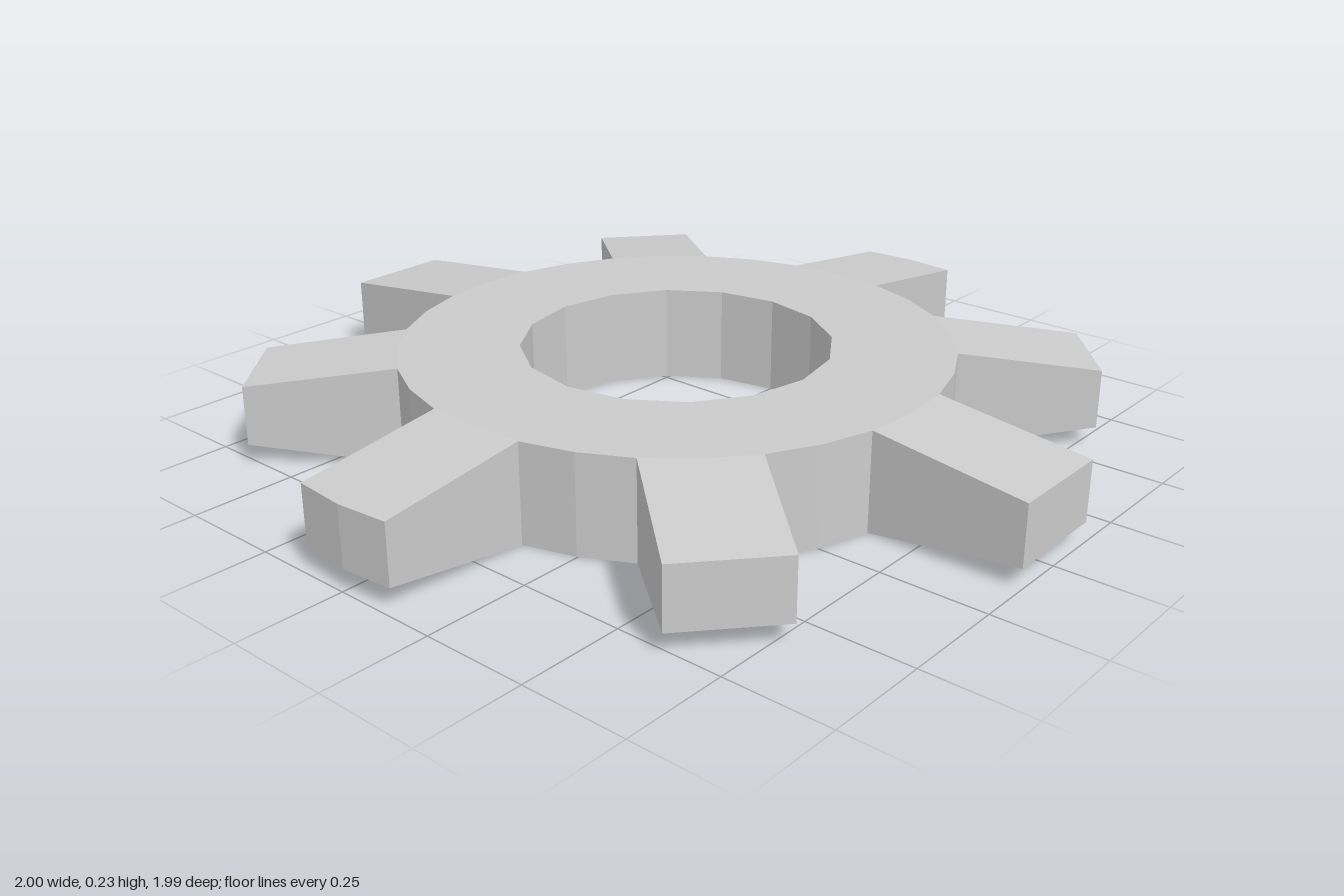
import * as THREE from 'three';

const HEIGHT = 0.235, TIP_LOW = 0.048, TIP_HIGH = 0.19;
const SEGMENTS = 32, OUTER = 0.648, INNER = 0.365;
const material = new THREE.MeshStandardMaterial({ color: 0xcccccc, flatShading: true });

// Plan points are [x, z]; angles run counter-clockwise seen from above
const polar = (k, r) => {
  const a = (k / SEGMENTS) * Math.PI * 2;
  return [r * Math.cos(a), -r * Math.sin(a)];
};
const mid = (p, q) => [(p[0] + q[0]) / 2, (p[1] + q[1]) / 2];
const at = (p, y) => [p[0], y, p[1]];
const outer = (k) => polar(k, OUTER);
// The bore has half as many sides, so odd points lie on its chords
const inner = (k) => (k % 2 ? mid(polar(k - 1, INNER), polar(k + 1, INNER)) : polar(k, INNER));

function quadMesh(name, quads) {
  const positions = quads.flatMap(([a, b, c, d]) => [a, b, c, a, c, d].flat());
  const geometry = new THREE.BufferGeometry();
  geometry.setAttribute('position', new THREE.Float32BufferAttribute(positions, 3));
  geometry.computeVertexNormals();
  const mesh = new THREE.Mesh(geometry, material);
  mesh.name = name;
  return mesh;
}

// Upright wall facing right of the path p -> q
const wall = (p, q, low, high) => [at(p, low), at(q, low), at(q, high), at(p, high)];

// Flat ring with a bore; the rim is left open where teeth join
function buildRing() {
  const quads = [];
  for (let k = 0; k < SEGMENTS; k++) {
    const a = outer(k), b = outer(k + 1), c = inner(k + 1), d = inner(k);
    quads.push([a, b, c, d].map((p) => at(p, HEIGHT)));
    quads.push([d, c, b, a].map((p) => at(p, 0)));
    quads.push(wall(c, d, 0, HEIGHT));
    const isTooth = k % 4 === 0 || k % 4 === 3;
    if (!isTooth) quads.push(wall(a, b, 0, HEIGHT));
  }
  return quadMesh('ring', quads);
}

// Three points across the end of a tooth, in counter-clockwise order
function toothTip(index) {
  const a = (index * Math.PI) / 4;
  const sx = Math.sign(Math.round(Math.cos(a) * 10));
  const sz = -Math.sign(Math.round(Math.sin(a) * 10));
  if (sz === 0) return [[sx, sx * 0.13], [sx, 0], [sx, -sx * 0.13]];
  if (sx === 0) return [[-sz * 0.127, sz * 0.983], [0, sz * 0.994], [sz * 0.127, sz * 0.983]];
  const nearX = [sx * 0.79, sz * 0.582], nearZ = [sx * 0.627, sz * 0.768];
  const tip = [nearX, mid(nearX, nearZ), nearZ];
  return sx * sz < 0 ? tip : tip.reverse();
}

// Tooth tapering in height from the rim to its end
function buildTooth(index) {
  const root = [-1, 0, 1].map((i) => outer(index * 4 + i));
  const tip = toothTip(index);
  const quads = [];
  for (let i = 0; i < 2; i++) {
    quads.push([at(tip[i], TIP_HIGH), at(tip[i + 1], TIP_HIGH), at(root[i + 1], HEIGHT), at(root[i], HEIGHT)]);
    quads.push([at(root[i], 0), at(root[i + 1], 0), at(tip[i + 1], TIP_LOW), at(tip[i], TIP_LOW)]);
    quads.push(wall(tip[i], tip[i + 1], TIP_LOW, TIP_HIGH));
  }
  // Flanks
  quads.push([at(root[0], 0), at(tip[0], TIP_LOW), at(tip[0], TIP_HIGH), at(root[0], HEIGHT)]);
  quads.push([at(tip[2], TIP_LOW), at(root[2], 0), at(root[2], HEIGHT), at(tip[2], TIP_HIGH)]);
  return quadMesh('tooth' + (index + 1), quads);
}

export function createModel() {
  const gear = new THREE.Group();
  gear.name = 'gear';
  gear.add(buildRing());
  for (let i = 0; i < 8; i++) gear.add(buildTooth(i));
  return gear;
}
